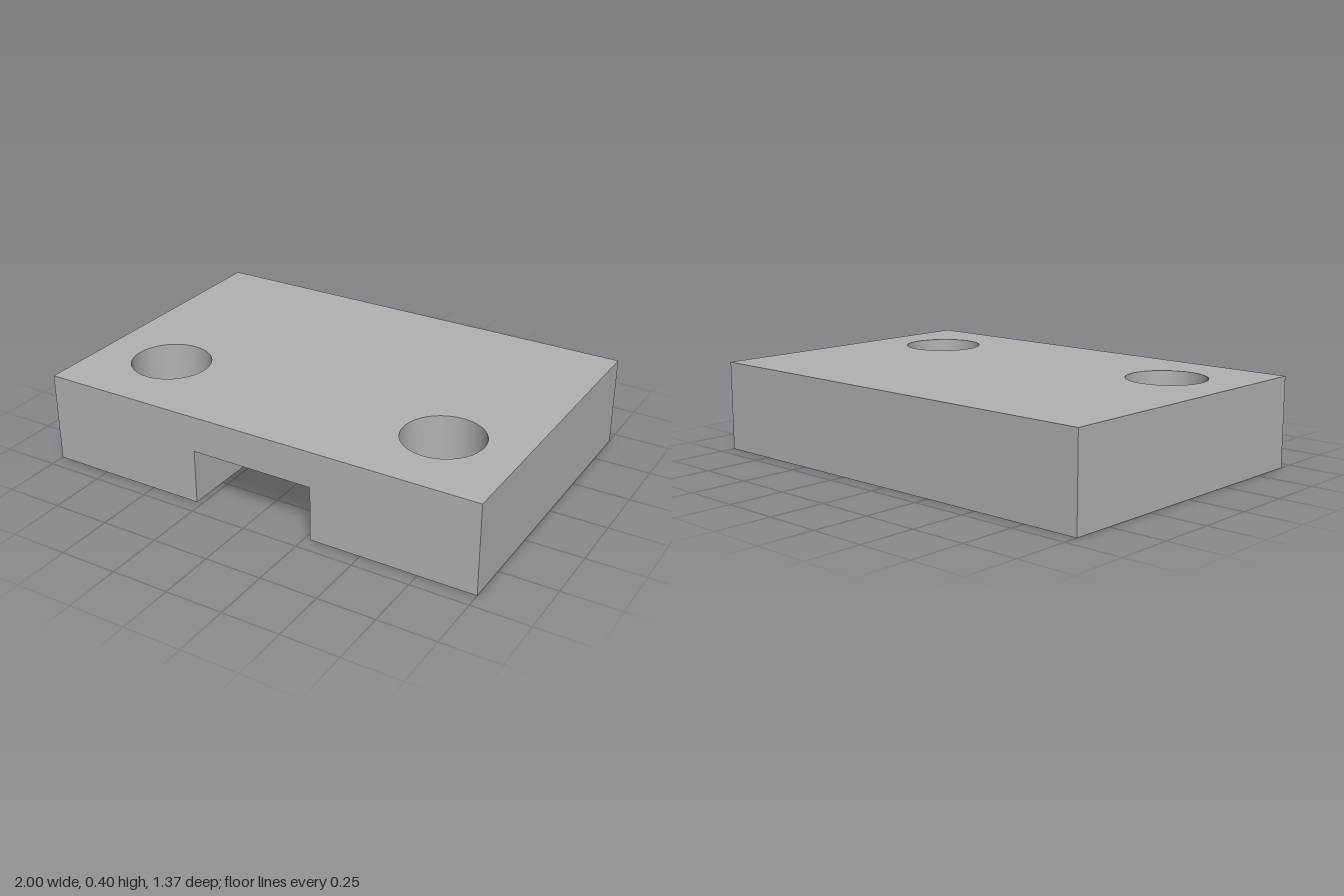
import * as THREE from 'three';
import { toCreasedNormals } from 'three/addons/utils/BufferGeometryUtils.js';

const HEIGHT = 0.397, HALF_DEPTH = 0.683;
const SLOT = { half: 0.275, top: 0.24, back: -0.58 };
const HOLE = { x: 0.658, z: 0.313, radius: 0.173 };

export function createModel() {
  const model = new THREE.Group();
  model.name = 'mountingBlock';
  const grey = new THREE.MeshStandardMaterial({ color: 0xb2b2b2 });
  grey.name = 'plain grey';

  // U-shaped plan, open towards the front; shape y is -z
  const plan = new THREE.Shape([
    [-1, -HALF_DEPTH], [-SLOT.half, -HALF_DEPTH], [-SLOT.half, -SLOT.back],
    [SLOT.half, -SLOT.back], [SLOT.half, -HALF_DEPTH], [1, -HALF_DEPTH],
    [1, HALF_DEPTH], [-1, HALF_DEPTH],
  ].map(([x, y]) => new THREE.Vector2(x, y)));

  // Through holes, one on each side
  for (const side of [-1, 1]) {
    const hole = new THREE.Path();
    hole.absarc(side * HOLE.x, -HOLE.z, HOLE.radius, 0, Math.PI * 2, true);
    plan.holes.push(hole);
  }

  const bodyGeometry = new THREE.ExtrudeGeometry(plan, {
    depth: HEIGHT, bevelEnabled: false, curveSegments: 32,
  });
  bodyGeometry.rotateX(-Math.PI / 2);
  const body = new THREE.Mesh(toCreasedNormals(bodyGeometry, Math.PI / 6), grey);
  body.name = 'body';
  model.add(body);

  // Bridge that closes the top of the slot
  const thickness = HEIGHT - SLOT.top;
  const bridge = new THREE.Mesh(
    new THREE.BoxGeometry(SLOT.half * 2, thickness, HALF_DEPTH - SLOT.back), grey);
  bridge.position.set(0, SLOT.top + thickness / 2, (HALF_DEPTH + SLOT.back) / 2);
  bridge.name = 'slotRoof';
  model.add(bridge);

  return model;
}
